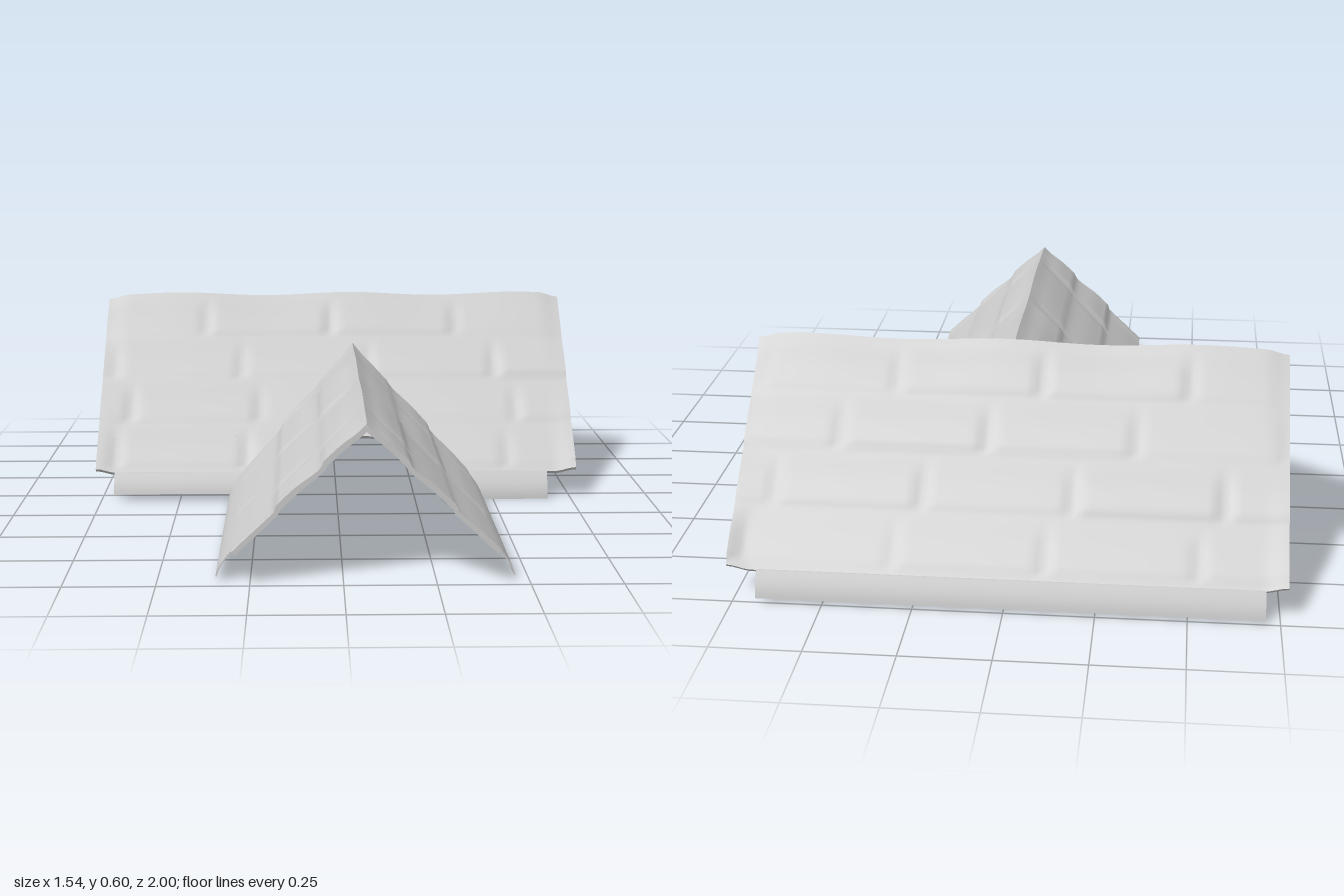
import * as THREE from 'three';

const smooth = THREE.MathUtils.smoothstep;
const EAVE = 0.085; // height where the slopes turn into the curled eave strips

// repeatable pseudo-random value for a tile
const hash = (i, j) => {
  const v = Math.sin(i * 127.1 + j * 311.7 + 4.3) * 43758.5453;
  return v - Math.floor(v);
};

// soft, staggered shingle relief: each tile swells toward its lower edge
function relief(a, down, seed) {
  const rowH = 0.125, row = Math.floor(down / rowH);
  const v = down / rowH - row;
  const c = (a + hash(row, seed) * 0.4 + 3) / 0.42;
  const col = Math.floor(c), u = c - col;
  const sides = smooth(u, 0, 0.08) * (1 - smooth(u, 0.92, 1));
  const lift = 0.3 + 0.7 * hash(col + seed, row);
  return 0.01 * lift * sides * smooth(v, 0, 0.6) * (1 - smooth(v, 0.9, 1));
}

// One slope panel: a box of cells bent onto the slope.
// Local axes: x along the ridge, y up, z outward from the ridge line.
function panel(name, roof, sign, seed, [a0, a1, y0, y1], material) {
  const w = a1 - a0, h = y1 - y0, curled = y1 <= EAVE + 0.001;
  const geo = new THREE.BoxGeometry(w, h, 1,
    Math.ceil(w / 0.016), Math.ceil(h / 0.011), 1);
  const pos = geo.attributes.position;
  const eaveOut = (roof.ridge - EAVE) * roof.slope;
  for (let i = 0; i < pos.count; i++) {
    const x = pos.getX(i) + sign * (a0 + a1) / 2;
    let y = pos.getY(i) + (y0 + y1) / 2;
    const a = sign * x, top = pos.getZ(i) > 0;
    let out;
    if (curled) {
      const t = (EAVE - y) / EAVE;
      out = eaveOut + roof.curl * Math.sin(t * Math.PI / 2) - (top ? 0 : 0.004);
    } else {
      const down = roof.ridge - y;
      out = down * roof.slope;
      const bump = relief(a, down, seed) * smooth(down, 0, 0.04);
      const o = (top ? bump - 0.003 * smooth(down, 0, 0.04) : bump * 0.6 - 0.016) * 0.7;
      // ridge waviness and drooping rounded ends
      const end = smooth(Math.abs(a), roof.end - 0.07, roof.end);
      const mid = (roof.ridge + EAVE) / 2;
      y = mid + (y - mid) * (1 - 0.05 * end);
      y += 0.005 * Math.sin(a * 11 + 1) * (1 - smooth(down, 0, 0.2)) + o;
      out = Math.max(0, out + o);
    }
    pos.setXYZ(i, x, y, out);
  }
  geo.computeVertexNormals();
  const mesh = new THREE.Mesh(geo, material);
  mesh.name = name;
  return mesh;
}

// A slope is a set of panels turned about the ridge line
function slope(name, roof, turn, sign, seed, rects, material) {
  const group = new THREE.Group();
  group.name = name;
  for (const r of rects) {
    const label = r[3] <= EAVE + 0.001 ? 'eaveStrip' : 'shinglePanel';
    group.add(panel(label, roof, sign, seed, r, material));
  }
  group.rotation.y = turn;
  group.position.set(roof.x, 0, roof.z);
  return group;
}

export function createModel() {
  const model = new THREE.Group();
  model.name = 'crossGableRoof';
  const shingle = new THREE.MeshStandardMaterial({ color: 0xcccccc });
  shingle.name = 'shingle grey';
  shingle.side = THREE.DoubleSide;

  const main = { ridge: 0.595, slope: 0.99, curl: 0.03, end: 0.77, x: 0, z: -0.465 };
  const wing = { ridge: 0.45, slope: 0.985, curl: 0.045, end: 1, x: 0.06, z: 0 };

  // front slope, stepped open where the wing meets it
  model.add(slope('mainFrontSlope', main, 0, 1, 1, [
    [-0.77, 0.77, 0.18, 0.595],
    [-0.77, -0.06, EAVE, 0.18],
    [0.26, 0.77, EAVE, 0.18],
    [-0.71, -0.19, 0.02, EAVE],
    [0.38, 0.675, 0, EAVE],
  ], shingle));
  model.add(slope('mainBackSlope', main, Math.PI, -1, 5, [
    [-0.77, 0.77, EAVE, 0.595],
    [-0.71, 0.685, 0.012, EAVE],
  ], shingle));

  // wing slopes, running back through the main roof
  const wingRects = [
    [-0.52, 1, 0.22, 0.45],
    [-0.12, 1, EAVE, 0.22],
    [-0.04, 0.95, 0.012, EAVE],
  ];
  model.add(slope('wingLeftSlope', wing, Math.PI / 2, -1, 9, wingRects, shingle));
  model.add(slope('wingRightSlope', wing, -Math.PI / 2, 1, 13, wingRects, shingle));

  return model;
}
